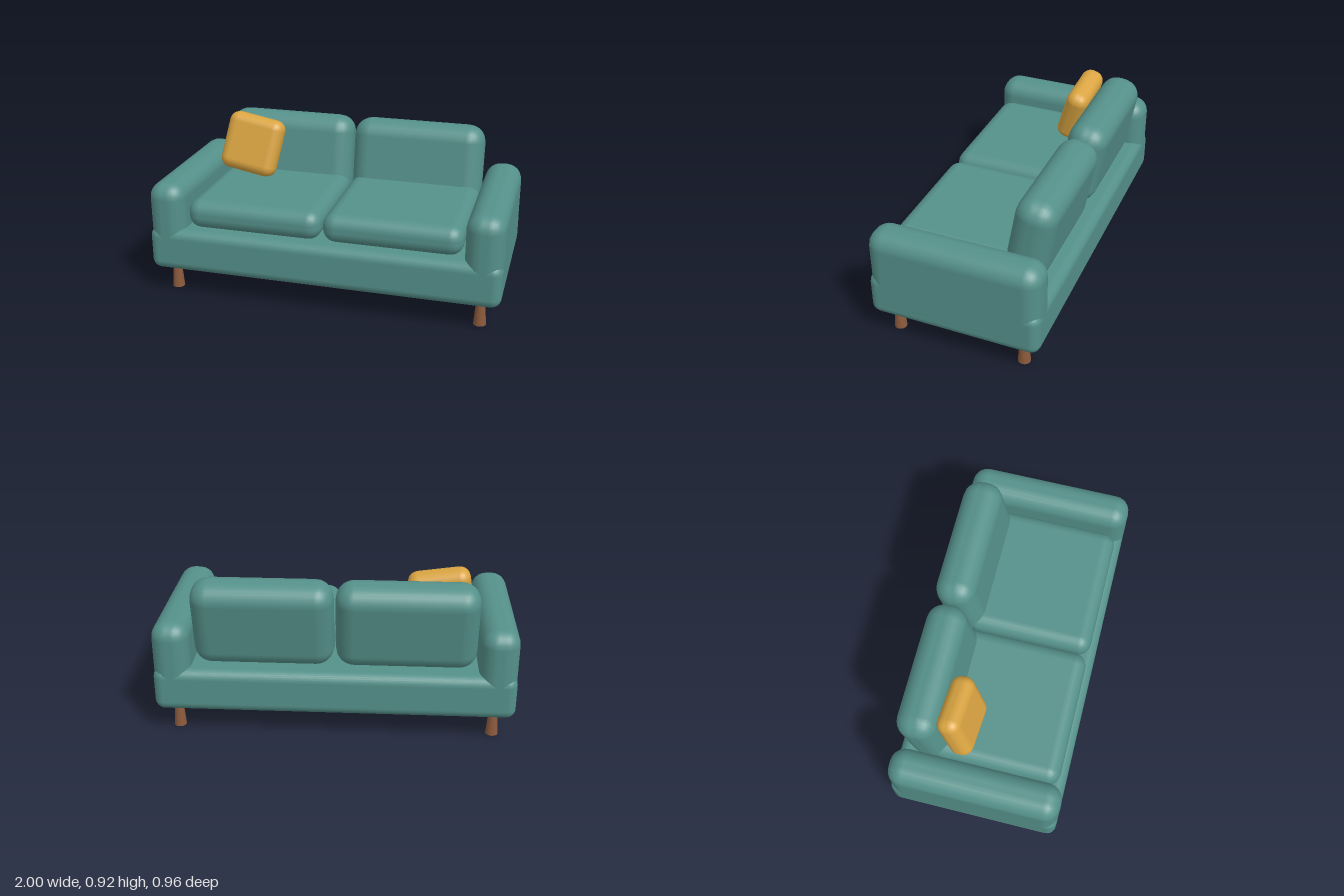
import * as THREE from 'three';
import { RoundedBoxGeometry } from 'three/addons/geometries/RoundedBoxGeometry.js';

const fabric = new THREE.MeshStandardMaterial({ color: 0x55908a });
const mustard = new THREE.MeshStandardMaterial({ color: 0xd9a441 });
const wood = new THREE.MeshStandardMaterial({ color: 0x8b5a3c });

// Soft block given by size, corner radius and centre
function softBox(name, [w, h, d], radius, [x, y, z], material = fabric) {
  const mesh = new THREE.Mesh(new RoundedBoxGeometry(w, h, d, 3, radius), material);
  mesh.name = name;
  mesh.position.set(x, y, z);
  return mesh;
}

export function createModel() {
  const sofa = new THREE.Group();
  sofa.name = 'sofa';

  // Base, a hair narrower than the arms
  sofa.add(softBox('base', [1.998, 0.252, 0.96], 0.055, [0, 0.271, 0]));

  for (const side of [1, -1]) {
    const label = side > 0 ? 'left' : 'right';

    sofa.add(softBox(label + 'Arm', [0.21, 0.515, 0.96], 0.09, [side * 0.895, 0.4025, 0]));
    sofa.add(softBox(label + 'SeatCushion', [0.775, 0.168, 0.74], 0.075, [side * 0.3925, 0.482, 0.07]));

    // Back cushion leans backwards
    const back = softBox(label + 'BackCushion', [0.775, 0.5, 0.23], 0.1, [side * 0.3925, 0.645, -0.328]);
    back.rotation.x = -0.18;
    sofa.add(back);

    // Legs widen towards the floor
    for (const end of [1, -1]) {
      const leg = new THREE.Mesh(new THREE.CylinderGeometry(0.022, 0.035, 0.17, 16), wood);
      leg.name = label + (end > 0 ? 'FrontLeg' : 'BackLeg');
      leg.position.set(side * 0.885, 0.085, end * 0.365);
      sofa.add(leg);
    }
  }

  // Throw pillow, tipped sideways and leaning on the back cushion
  const pillow = softBox('throwPillow', [0.345, 0.345, 0.135], 0.06, [-0.58, 0.737, -0.143], mustard);
  pillow.rotation.set(-0.3, 0, -0.17);
  sofa.add(pillow);

  return sofa;
}
